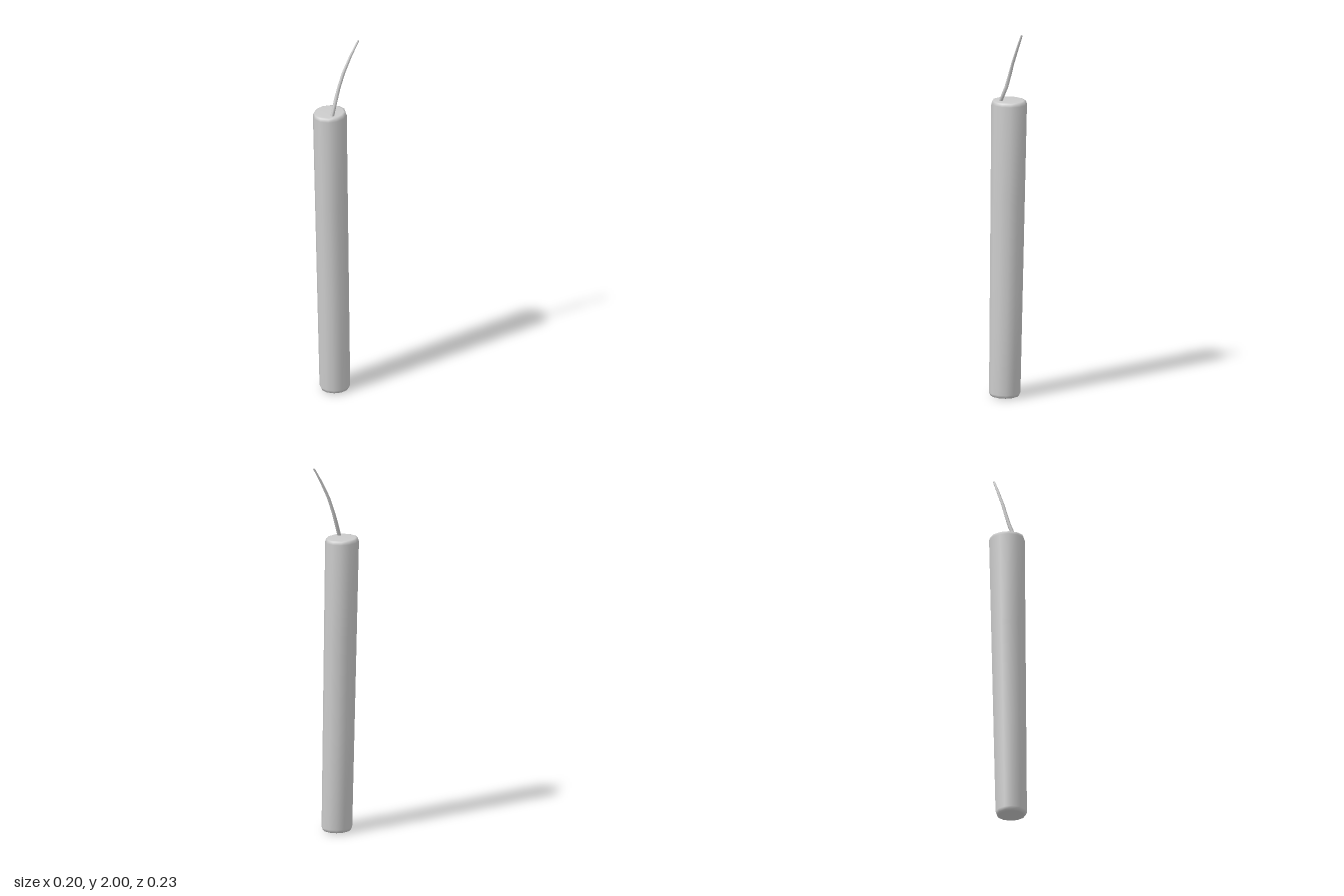
import * as THREE from 'three';

// Skin a stack of horizontal rings [x, y, z, radiusX, radiusZ], closed at both ends
function loft(name, rings, sides) {
  const pos = [], index = [];
  for (const [x, y, z, rx, rz] of rings) {
    for (let i = 0; i < sides; i++) {
      const a = (i / sides) * Math.PI * 2;
      pos.push(x + Math.sin(a) * rx, y, z + Math.cos(a) * rz);
    }
  }
  for (let r = 0; r < rings.length - 1; r++) {
    for (let i = 0; i < sides; i++) {
      const a = r * sides + i, b = r * sides + (i + 1) % sides;
      index.push(a, b, b + sides, a, b + sides, a + sides);
    }
  }
  // End caps as fans around a centre point
  const last = rings.length - 1;
  for (const r of [0, last]) {
    const c = pos.length / 3;
    pos.push(...rings[r].slice(0, 3));
    for (let i = 0; i < sides; i++) {
      const a = r * sides + i, b = r * sides + (i + 1) % sides;
      if (r === 0) index.push(c, b, a);
      else index.push(c, a, b);
    }
  }
  const geo = new THREE.BufferGeometry();
  geo.setAttribute('position', new THREE.Float32BufferAttribute(pos, 3));
  geo.setIndex(index);
  geo.computeVertexNormals();
  const mesh = new THREE.Mesh(geo, new THREE.MeshStandardMaterial({ color: 0xcccccc }));
  mesh.name = name;
  return mesh;
}

export function createModel() {
  const group = new THREE.Group();
  group.name = 'stickWithFuse';

  // Leaning, slightly widening stick with softened rims: [height, scale of radius]
  const profile = [[0, 0.78], [0.004, 0.92], [0.02, 1], [0.55, 1], [1.08, 1],
    [1.59, 1], [1.606, 0.94], [1.61, 0.82]];
  const mix = THREE.MathUtils.lerp;
  const stick = profile.map(([y, s]) => {
    const t = y / 1.61;
    return [mix(0.021, -0.016, t), y, mix(0.024, 0.016, t), mix(0.08, 0.087, t) * s, mix(0.084, 0.097, t) * s];
  });
  group.add(loft('stick', stick, 12));

  // Thin bent fuse tapering to its tip
  const fuse = [
    [0.02, 1.6, 0.052, 0.01, 0.011],
    [0.021, 1.69, 0.014, 0.01, 0.011],
    [0.026, 1.75, -0.006, 0.009, 0.01],
    [0.038, 1.83, -0.033, 0.009, 0.009],
    [0.059, 1.92, -0.071, 0.007, 0.008],
    [0.083, 2.0, -0.108, 0.005, 0.006],
  ];
  group.add(loft('fuse', fuse, 6));
  return group;
}
